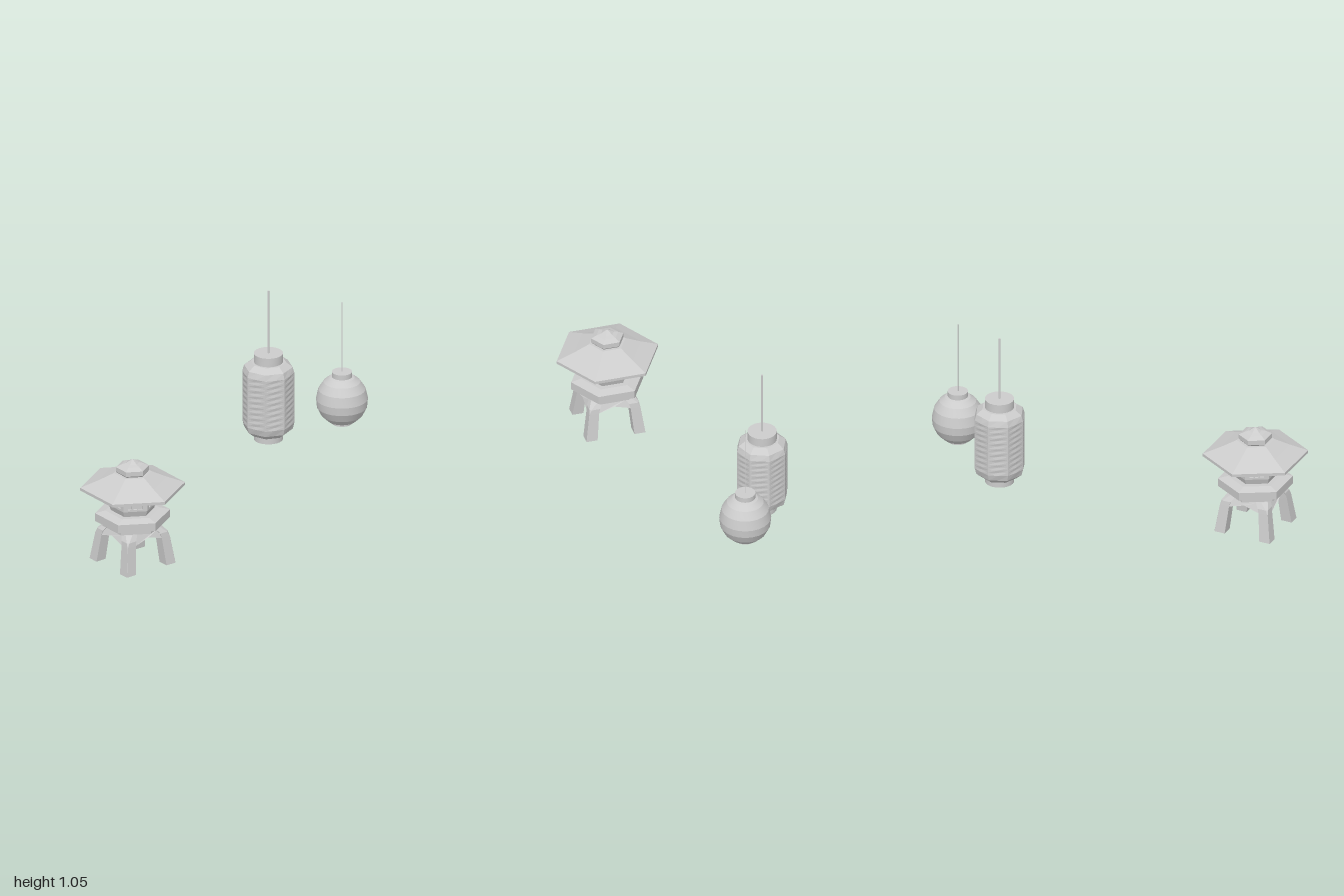
import * as THREE from 'three';
import { toCreasedNormals } from 'three/addons/utils/BufferGeometryUtils.js';

const flat = new THREE.MeshStandardMaterial({ color: 0xcccccc, flatShading: true, side: THREE.DoubleSide });
const smooth = new THREE.MeshStandardMaterial({ color: 0xcccccc, side: THREE.DoubleSide });

function add(parent, name, geometry, material = flat) {
  const mesh = new THREE.Mesh(geometry, material);
  mesh.name = name;
  parent.add(mesh);
  return mesh;
}

function group(parent, name, x, z) {
  const g = new THREE.Group();
  g.name = name;
  g.position.set(x, 0, z);
  parent.add(g);
  return g;
}

// Profile of [radius, y] from bottom to top, with a corner on +x
function turned(profile, sides) {
  return new THREE.LatheGeometry(profile.map(([r, y]) => new THREE.Vector2(r, y)), sides, Math.PI / 2);
}

function cylinder(r, y0, y1, sides) {
  return toCreasedNormals(new THREE.CylinderGeometry(r, r, y1 - y0, sides).translate(0, (y0 + y1) / 2, 0), 0.6);
}

// Skin between equal closed rings, with a cap on both ends
function loft(rings) {
  const n = rings[0].length, index = [];
  for (let j = 0; j < rings.length - 1; j++) {
    for (let k = 0; k < n; k++) {
      const a = j * n + k, b = j * n + (k + 1) % n;
      index.push(a, b, b + n, a, b + n, a + n);
    }
  }
  const top = (rings.length - 1) * n;
  for (let k = 1; k < n - 1; k++) index.push(0, k + 1, k, top, top + k, top + k + 1);
  const geo = new THREE.BufferGeometry();
  geo.setAttribute('position', new THREE.Float32BufferAttribute(rings.flat(2), 3));
  geo.setIndex(index);
  geo.computeVertexNormals();
  return geo;
}

function rectangle(path, x0, y0, x1, y1) {
  path.moveTo(x0, y0).lineTo(x1, y0).lineTo(x1, y1).lineTo(x0, y1).closePath();
  return path;
}

function buildStoneLantern(root) {
  const g = group(root, 'stoneLantern', 0.167, 0.757);

  // Four splayed legs with chamfered shoulders: [y, inner, outer, chamfer]
  const leg = loft([[0, 0.102, 0.163, 0.001], [0.155, 0.087, 0.141, 0.001],
    [0.18, 0.08, 0.137, 0.01], [0.21, 0.06, 0.118, 0.025]].map(([y, i, o, c]) =>
    [[i, y, i], [i, y, o], [o - c, y, o], [o, y, o - c], [o, y, i]]));

  // Arched rails joining the legs, leaning with the legs' outer faces
  const arch = new THREE.Shape([[-0.09, 0.155], [0, 0.18], [0.09, 0.155], [0.09, 0.21], [-0.09, 0.21]]
    .map(([x, y]) => new THREE.Vector2(x, y)));
  const rail = new THREE.ExtrudeGeometry(arch, { depth: 0.054, bevelEnabled: false });
  const p = rail.attributes.position;
  for (let i = 0; i < p.count; i++) {
    const y = p.getY(i);
    const outer = y < 0.17 ? 0.141 : y < 0.2 ? 0.137 : 0.118;
    p.setZ(i, p.getZ(i) - 0.054 + outer);
  }
  for (let i = 0; i < 4; i++) {
    add(g, 'leg', leg).rotation.y = i * Math.PI / 2;
    add(g, 'legArch', rail).rotation.y = i * Math.PI / 2;
  }
  add(g, 'legTable', new THREE.BoxGeometry(0.2, 0.03, 0.2).translate(0, 0.195, 0));

  // Stepped hexagonal platform
  add(g, 'platform', turned([[0, 0.211], [0.162, 0.211], [0.162, 0.24], [0.2, 0.24],
    [0.2, 0.285], [0.146, 0.298], [0, 0.298]], 6));

  // Fire box with a tapered foot and six pierced walls
  add(g, 'fireBoxFoot', turned([[0.115, 0.298], [0.128, 0.33], [0, 0.33]], 6));
  add(g, 'fireBoxCore', turned([[0.115, 0.33], [0.115, 0.46], [0, 0.46]], 6));
  const wall = rectangle(new THREE.Shape(), -0.064, 0.33, 0.064, 0.45);
  for (const x of [-0.028, 0, 0.028]) {
    for (const y of [0.352, 0.387]) {
      wall.holes.push(rectangle(new THREE.Path(), x - 0.01, y - 0.011, x + 0.01, y + 0.011));
    }
  }
  const wallGeo = new THREE.ExtrudeGeometry(wall, { depth: 0.011, bevelEnabled: false })
    .translate(0, 0, 0.128 * Math.cos(Math.PI / 6) - 0.011);
  for (let i = 0; i < 6; i++) add(g, 'windowWall', wallGeo).rotation.y = i * Math.PI / 3;

  // Wide roof with a hollow underside, and its finial
  add(g, 'roof', turned([[0.1, 0.465], [0.272, 0.42], [0.28, 0.421], [0.28, 0.437],
    [0.185, 0.474], [0.1, 0.512], [0, 0.512]], 6));
  add(g, 'finial', turned([[0.08, 0.51], [0.089, 0.52], [0.089, 0.546], [0.06, 0.56],
    [0.035, 0.567], [0.016, 0.579], [0, 0.588]], 6));
}

function buildTallLantern(root) {
  const g = group(root, 'tallPaperLantern', -0.31, -0.52);

  // Eight-sided paper shade; ribs ripple in the middle of each face
  const profile = [[0.07, 0.228], [0.098, 0.228], [0.13, 0.255]];
  const ribs = 18;
  for (let i = 0; i <= ribs; i++) profile.push([0.139, 0.29 + 0.29 * i / ribs]);
  profile.push([0.13, 0.612], [0.095, 0.638], [0.07, 0.638]);
  const mid = Math.cos(Math.PI / 8);
  add(g, 'paperShade', loft(profile.map(([r, y], j) => {
    const ripple = r === 0.139 && j % 2 ? 0.003 : 0;
    return Array.from({ length: 16 }, (_, k) => {
      const a = -k * Math.PI / 8, d = k % 2 ? r * mid + ripple : r;
      return [d * Math.cos(a), y, d * Math.sin(a)];
    });
  })));

  add(g, 'bottomCap', cylinder(0.078, 0.19, 0.235, 24), smooth);
  add(g, 'topCap', cylinder(0.078, 0.63, 0.687, 24), smooth);
  add(g, 'hangingRod', cylinder(0.006, 0.687, 1.048, 8), smooth);
}

function buildRoundLantern(root) {
  const g = group(root, 'roundPaperLantern', -0.115, -0.862);

  // Globe made of flat bands
  const globe = turned([[0.05, 0.272], [0.078, 0.277], [0.112, 0.31], [0.134, 0.355], [0.138, 0.4],
    [0.126, 0.455], [0.098, 0.498], [0.068, 0.522], [0.05, 0.528]], 24);
  add(g, 'paperGlobe', toCreasedNormals(globe, 0.3), smooth);

  add(g, 'bottomCap', cylinder(0.054, 0.257, 0.28, 24), smooth);
  add(g, 'topCap', cylinder(0.054, 0.52, 0.555, 24), smooth);
  add(g, 'hangingCord', cylinder(0.0025, 0.555, 0.957, 8), smooth);
}

export function createModel() {
  const root = new THREE.Group();
  root.name = 'lanternSet';
  buildStoneLantern(root);
  buildTallLantern(root);
  buildRoundLantern(root);
  return root;
}
